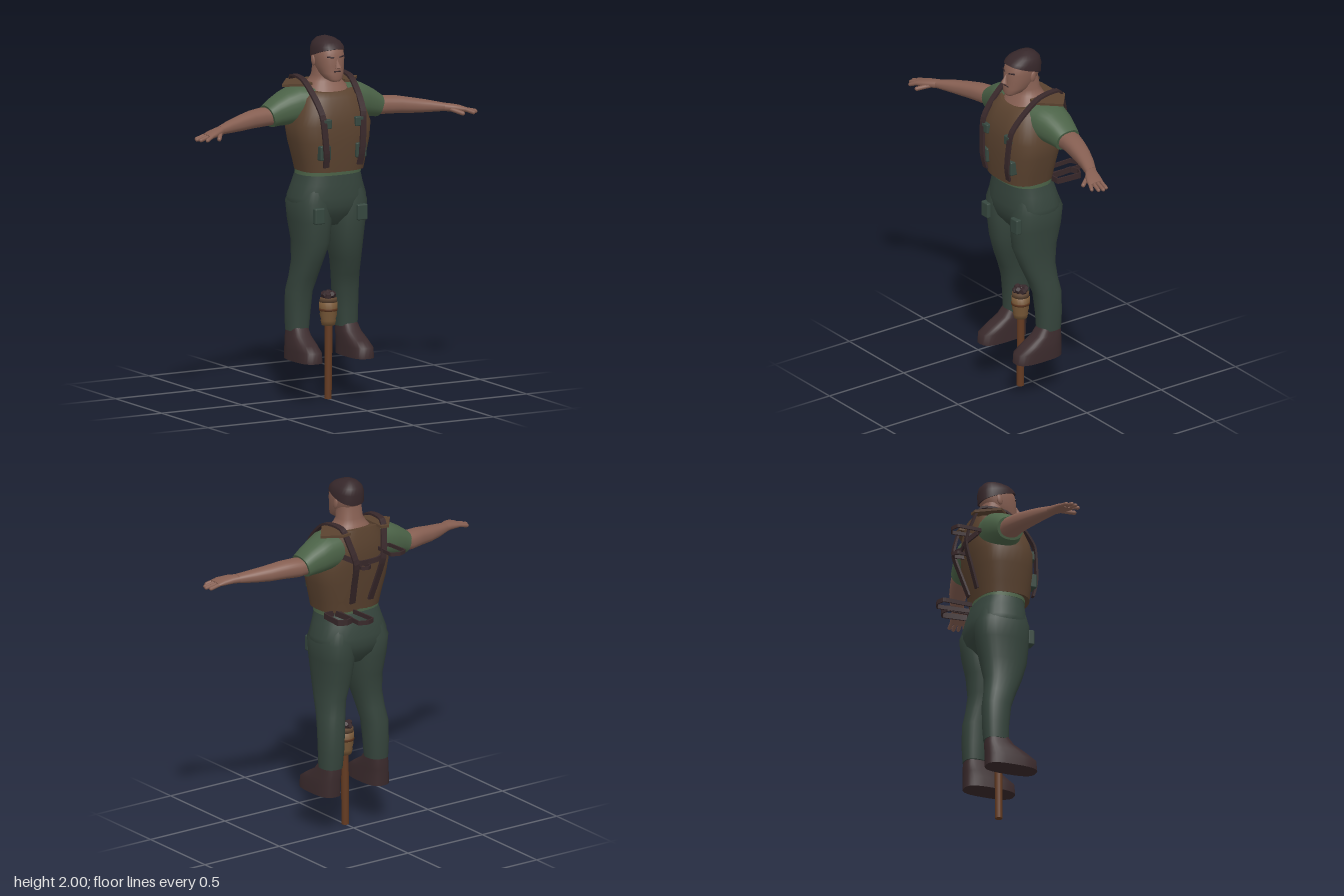
import * as THREE from 'three';
import { RoundedBoxGeometry } from 'three/addons/geometries/RoundedBoxGeometry.js';

const mat = (name, color) => Object.assign(new THREE.MeshStandardMaterial({ color }), { name });
const V = (p) => new THREE.Vector3(...p);

// Closed skin through rounded rings [x, y, z, halfA, halfB, shear].
// axis 'y': A along x, B along z.  axis 'x': A along y, B along z.
function loft(rings, axis = 'y', side = 1, power = 0.85, segs = 28) {
  const pos = [], idx = [];
  const sp = (v) => Math.sign(v) * Math.abs(v) ** power;
  const flip = axis === 'x' && side > 0;
  const tri = (a, b, c) => idx.push(...(flip ? [a, c, b] : [a, b, c]));
  const addRing = ([x, y, z, a, b, k = 0]) => {
    for (let j = 0; j < segs; j++) {
      const t = (j / segs) * Math.PI * 2, c = sp(Math.cos(t)), s = sp(Math.sin(t));
      if (axis === 'y') pos.push(x * side + a * c, y + k * s, z + b * s);
      else pos.push((x + k * c) * side, y + a * c, z + b * s);
    }
  };
  rings.forEach(addRing);
  for (let i = 0; i < rings.length - 1; i++) for (let j = 0; j < segs; j++) {
    const a = i * segs + j, b = i * segs + (j + 1) % segs;
    tri(a, a + segs, b);
    tri(b, a + segs, b + segs);
  }
  // End caps have their own vertices so the rims stay crisp
  [rings[0], rings[rings.length - 1]].forEach((r, e) => {
    const o = pos.length / 3;
    addRing(r);
    pos.push(r[0] * side, r[1], r[2]);
    for (let j = 0; j < segs; j++) {
      const a = o + j, b = o + (j + 1) % segs;
      e ? tri(a, o + segs, b) : tri(a, b, o + segs);
    }
  });
  const g = new THREE.BufferGeometry();
  g.setAttribute('position', new THREE.Float32BufferAttribute(pos, 3));
  g.setIndex(idx);
  g.computeVertexNormals();
  return g;
}

// Flat strap following a path; wide is the direction of its width
function band(points, width, thick, wide, closed = false, steps = 40) {
  const curve = new THREE.CatmullRomCurve3(points.map(V), closed, 'catmullrom', closed ? 0.1 : 0.4);
  const W = V(wide), pos = [], idx = [];
  for (let i = 0; i <= steps; i++) {
    const p = curve.getPoint(i / steps), T = curve.getTangent(i / steps);
    const N = T.clone().cross(W).normalize(), B = N.clone().cross(T).normalize();
    for (const [a, b] of [[1, 1], [1, -1], [-1, -1], [-1, 1]]) {
      const q = p.clone().addScaledVector(B, a * width / 2).addScaledVector(N, b * thick / 2);
      pos.push(q.x, q.y, q.z);
    }
    if (i < steps) for (let j = 0; j < 4; j++) {
      const a = i * 4 + j, b = i * 4 + (j + 1) % 4;
      idx.push(a, b, a + 4, b, b + 4, a + 4);
    }
  }
  if (!closed) {
    const e = steps * 4;
    idx.push(0, 2, 1, 0, 3, 2, e, e + 1, e + 2, e, e + 2, e + 3);
  }
  const g = new THREE.BufferGeometry();
  g.setAttribute('position', new THREE.Float32BufferAttribute(pos, 3));
  g.setIndex(idx);
  const flat = g.toNonIndexed();
  flat.computeVertexNormals();
  return flat;
}

export function createModel() {
  const model = new THREE.Group();
  model.name = 'figure';
  const skin = mat('skin', 0x865f52), hair = mat('hair', 0x36272a), vestM = mat('vest', 0x5a422f);
  const shirt = mat('shirt', 0x4b6247), pants = mat('trousers', 0x35443c), pouchM = mat('pouch', 0x36473f);
  const boot = mat('boot leather', 0x3a2a2c), strapM = mat('strap', 0x38282a);
  strapM.side = THREE.DoubleSide;
  const wood = mat('wood', 0x643b22), wrap = mat('wrapping', 0x765737);

  const add = (name, geo, m, p = [0, 0, 0], r = [0, 0, 0], s = [1, 1, 1]) => {
    const mesh = new THREE.Mesh(geo, m);
    mesh.name = name;
    mesh.position.set(...p); mesh.rotation.set(...r); mesh.scale.set(...s);
    model.add(mesh);
    return mesh;
  };
  const ball = new THREE.SphereGeometry(1, 16, 12);
  const limb = (name, from, to, r, m) => {
    const a = V(from), d = V(to).sub(a);
    const mesh = add(name, new THREE.CapsuleGeometry(r, d.length(), 4, 10), m);
    mesh.position.copy(a).addScaledVector(d, 0.5);
    mesh.quaternion.setFromUnitVectors(new THREE.Vector3(0, 1, 0), d.normalize());
  };

  // Torso
  add('vest', loft([[0, 1.277, 0.085, 0.185, 0.145], [0, 1.34, 0.083, 0.198, 0.153], [0, 1.44, 0.077, 0.222, 0.165],
    [0, 1.53, 0.07, 0.234, 0.17], [0, 1.6, 0.06, 0.21, 0.168], [0, 1.68, 0.045, 0.18, 0.152],
    [0, 1.73, 0.035, 0.145, 0.125, -0.025]], 'y', 1, 0.72, 40), vestM);
  add('shirtHem', loft([[0, 1.255, 0.073, 0.184, 0.134], [0, 1.29, 0.073, 0.182, 0.134]], 'y', 1, 0.8), shirt);
  add('neck', loft([[0, 1.68, 0.045, 0.135, 0.122], [0, 1.73, 0.04, 0.118, 0.1], [0, 1.76, 0.038, 0.09, 0.078],
    [0, 1.79, 0.04, 0.073, 0.066], [0, 1.86, 0.05, 0.068, 0.066]]), skin);

  // Head
  add('head', loft([[0, 1.765, 0.15, 0.025, 0.026], [0, 1.78, 0.132, 0.048, 0.052], [0, 1.81, 0.105, 0.064, 0.076],
    [0, 1.85, 0.083, 0.074, 0.094], [0, 1.89, 0.072, 0.08, 0.103], [0, 1.93, 0.066, 0.079, 0.099],
    [0, 1.965, 0.058, 0.066, 0.082], [0, 1.985, 0.052, 0.04, 0.05]]), skin);
  add('hairCap', loft([[0, 1.907, 0.068, 0.084, 0.103, 0.036], [0, 1.942, 0.062, 0.083, 0.1, 0.015],
    [0, 1.97, 0.055, 0.07, 0.085, 0.005], [0, 1.99, 0.05, 0.046, 0.056], [0, 2, 0.046, 0.016, 0.02]]), hair);
  add('nose', new THREE.ConeGeometry(0.019, 0.055, 8), skin, [0, 1.868, 0.182], [-0.28, 0, 0]);
  add('mouth', new RoundedBoxGeometry(0.042, 0.007, 0.008, 2, 0.003), hair, [0, 1.822, 0.177]);
  for (const s of [1, -1]) {
    add('ear', ball, skin, [s * 0.081, 1.873, 0.055], [-0.2, 0, 0], [0.009, 0.03, 0.017]);
    add('brow', new RoundedBoxGeometry(0.04, 0.008, 0.009, 2, 0.003), hair, [s * 0.034, 1.9, 0.164], [0, s * 0.3, s * 0.12]);
    add('eye', ball, hair, [s * 0.033, 1.886, 0.163], [0, s * 0.3, 0], [0.012, 0.005, 0.005]);
  }

  for (const s of [1, -1]) {
    // Sleeve and arm
    add('sleeve', loft([[0.1, 1.64, 0.03, 0.1, 0.12], [0.19, 1.634, 0.022, 0.102, 0.112],
      [0.25, 1.618, 0.015, 0.092, 0.098], [0.3, 1.6, 0.014, 0.076, 0.085, 0.01],
      [0.342, 1.58, 0.014, 0.06, 0.075, 0.018]], 'x', s), shirt);
    add('arm', loft([[0.28, 1.58, 0.012, 0.045, 0.058], [0.38, 1.579, 0.014, 0.051, 0.06],
      [0.46, 1.576, 0.034, 0.048, 0.055], [0.54, 1.567, 0.055, 0.042, 0.049], [0.62, 1.56, 0.083, 0.034, 0.042],
      [0.7, 1.553, 0.118, 0.023, 0.034]], 'x', s), skin);
    add('palm', loft([[0.69, 1.553, 0.114, 0.023, 0.034], [0.73, 1.55, 0.138, 0.022, 0.042],
      [0.78, 1.543, 0.157, 0.019, 0.048], [0.815, 1.536, 0.164, 0.012, 0.045]], 'x', s), skin);
    [[0.128, 0.135, 0.86], [0.152, 0.162, 0.872], [0.176, 0.187, 0.862], [0.197, 0.212, 0.835]].forEach(([z0, z1, x]) =>
      limb('finger', [s * 0.795, 1.54, z0], [s * x, 1.523, z1], 0.0105, skin));
    limb('thumb', [s * 0.72, 1.545, 0.155], [s * 0.765, 1.525, 0.218], 0.012, skin);

    // Pointed shoulder flap of the vest
    const flap = new THREE.Shape();
    flap.moveTo(0.1, -0.11); flap.lineTo(0.15, -0.11); flap.lineTo(0.245, -0.03); flap.lineTo(0.15, 0.09); flap.lineTo(0.1, 0.09);
    const flapGeo = new THREE.ExtrudeGeometry(flap, { depth: 0.014, bevelEnabled: false });
    flapGeo.rotateX(Math.PI / 2).rotateZ(-0.07);
    if (s < 0) flapGeo.rotateY(Math.PI).translate(0, 0, -0.03);
    add('shoulderFlap', flapGeo, vestM, [0, 1.762, 0]);

    // Leg and boot
    add('leg', loft([[0.153, 0.385, 0.004, 0.06, 0.068], [0.15, 0.48, 0.003, 0.066, 0.073], [0.145, 0.6, 0.01, 0.069, 0.08],
      [0.132, 0.68, 0.032, 0.07, 0.088], [0.12, 0.77, 0.055, 0.075, 0.103], [0.104, 0.88, 0.065, 0.091, 0.13],
      [0.107, 1, 0.058, 0.103, 0.148], [0.111, 1.1, 0.055, 0.108, 0.152], [0.1, 1.18, 0.06, 0.09, 0.13]], 'y', s), pants);
    add('boot', loft([[0.162, 0.228, 0.088, 0.068, 0.147], [0.162, 0.285, 0.085, 0.066, 0.145],
      [0.16, 0.32, 0.058, 0.062, 0.118], [0.157, 0.36, 0.022, 0.057, 0.083], [0.155, 0.415, 0.004, 0.048, 0.058]],
      'y', s, 0.7), boot);

    // Pouches and harness strap
    add('chestPouch', new RoundedBoxGeometry(0.05, 0.052, 0.03, 2, 0.006), pouchM, [s * 0.1, 1.549, 0.236]);
    add('waistPouch', new RoundedBoxGeometry(0.066, 0.082, 0.045, 2, 0.008), pouchM, [s * 0.112, 1.39, 0.226]);
    add('thighPouch', new RoundedBoxGeometry(0.062, 0.088, 0.035, 2, 0.008), pouchM, [s * 0.134, 1.04, 0.209]);
    add('harnessStrap', band([[0.105, 1.31, 0.238], [0.112, 1.39, 0.254], [0.12, 1.5, 0.25], [0.128, 1.6, 0.235],
      [0.138, 1.69, 0.165], [0.145, 1.77, 0.06], [0.135, 1.775, -0.075], [0.115, 1.69, -0.12], [0.09, 1.58, -0.148],
      [0.075, 1.45, -0.11], [0.06, 1.33, -0.07]].map(([x, y, z]) => [s * x, y, z]), 0.034, 0.012, [1, 0, 0]), strapM);
  }

  // Hips
  add('hips', loft([[0, 0.97, 0.055, 0.09, 0.09], [0, 1.03, 0.055, 0.19, 0.14], [0, 1.08, 0.055, 0.217, 0.155],
    [0, 1.13, 0.056, 0.221, 0.158], [0, 1.2, 0.062, 0.197, 0.146], [0, 1.265, 0.07, 0.18, 0.131]], 'y', 1, 0.8), pants);

  // Back harness: cross strap and carrying loops [x0, x1, y, zNear, zFar, height]
  add('crossStrap', band([[-0.14, 1.62, -0.1], [-0.07, 1.585, -0.142], [0, 1.575, -0.135], [0.07, 1.585, -0.142],
    [0.14, 1.62, -0.1]], 0.028, 0.01, [0, 1, 0]), strapM);
  [[-0.18, -0.085, 1.625, -0.09, -0.245, 0.02], [0, 0.06, 1.556, -0.09, -0.175, 0.02],
    [0.035, 0.13, 1.275, -0.04, -0.245, 0.024], [0.13, 0.22, 1.275, -0.02, -0.18, 0.032]].forEach(([x0, x1, y, zn, zf, h]) => {
    const xm = (x0 + x1) / 2;
    add('carryLoop', band([[x0 + 0.01, y, zn], [x0, y, zf + 0.02], [xm, y, zf], [x1, y, zf + 0.02], [x1 - 0.01, y, zn]],
      h, 0.008, [0, 1, 0], true), strapM);
  });

  // Torch standing between the feet
  add('torchHandle', new THREE.CylinderGeometry(0.022, 0.02, 0.43, 14), wood, [0, 0.215, 0.08], [0, 0, -0.01]);
  const turned = (pts) => new THREE.LatheGeometry(pts.map((p) => new THREE.Vector2(...p)), 18);
  add('torchWrapping', turned([[0, 0.405], [0.036, 0.408], [0.043, 0.435], [0.04, 0.44], [0.047, 0.465], [0.046, 0.485],
    [0.05, 0.49], [0.05, 0.535], [0, 0.54]]), wrap, [0, 0, 0.08]);
  add('torchBand', turned([[0, 0.48], [0.051, 0.488], [0.051, 0.5], [0.048, 0.505]]), wood, [0, 0, 0.08]);
  add('torchCollar', turned([[0, 0.53], [0.048, 0.532], [0.046, 0.558], [0, 0.56]]), vestM, [0, 0, 0.08]);
  for (let i = 0; i < 7; i++) {
    const a = i * Math.PI * 2 / 6, r = i < 6 ? 0.024 : 0;
    add('torchTip', new THREE.DodecahedronGeometry(0.022), hair, [r * Math.cos(a), 0.57 + 0.008 * (i % 2), 0.08 + r * Math.sin(a)], [i, i * 2, 0]);
  }
  return model;
}
